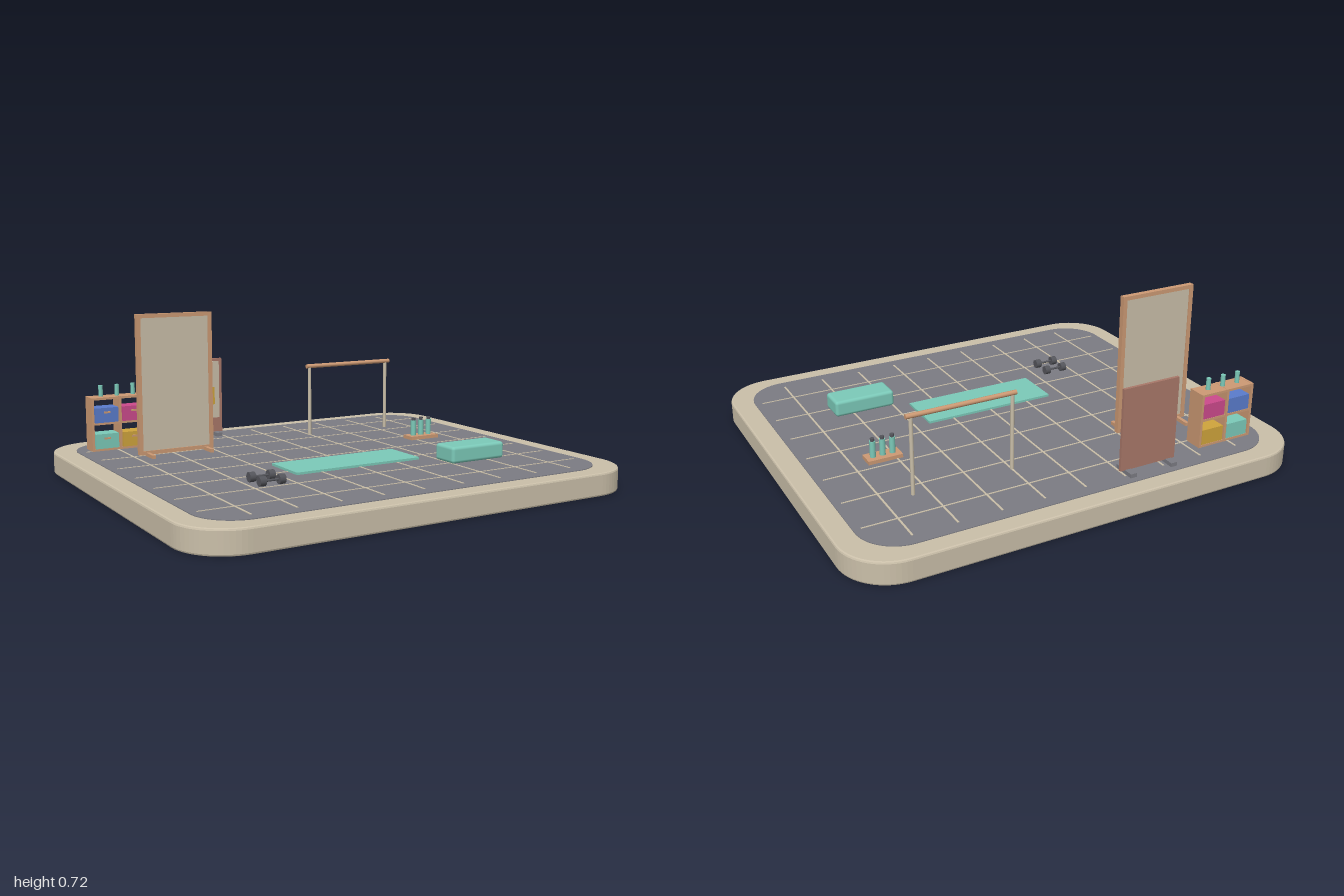
import * as THREE from 'three';
import { RoundedBoxGeometry } from 'three/addons/geometries/RoundedBoxGeometry.js';

const mat = (name, color) => {
  const m = new THREE.MeshStandardMaterial({ color });
  m.name = name;
  return m;
};

export function createModel() {
  const khaki = mat('khaki', 0xcabfa9), grey = mat('grey', 0x7c7c83), wood = mat('wood', 0xcd9a74),
    rose = mat('rose', 0xa97869), teal = mat('teal', 0x7ccab9), blue = mat('blue', 0x5a7ccc),
    magenta = mat('magenta', 0xcc4a8c), yellow = mat('yellow', 0xcfa43c), dark = mat('charcoal', 0x55565c);
  const root = new THREE.Group();
  root.name = 'exerciseStudio';
  const FLOOR = 0.1;

  const group = (name) => {
    const g = new THREE.Group();
    g.name = name;
    root.add(g);
    return g;
  };
  const add = (parent, name, geo, material, x = 0, y = 0, z = 0) => {
    const m = new THREE.Mesh(geo, material);
    m.name = name;
    m.position.set(x, y, z);
    parent.add(m);
    return m;
  };
  // box given by its minimum and maximum corners
  const box = (p, name, m, x0, x1, y0, y1, z0, z1) =>
    add(p, name, new THREE.BoxGeometry(x1 - x0, y1 - y0, z1 - z0), m, (x0 + x1) / 2, (y0 + y1) / 2, (z0 + z1) / 2);
  // upright cylinder from y0 to y1
  const post = (p, name, m, r, x, y0, y1, z, sides = 12) =>
    add(p, name, new THREE.CylinderGeometry(r, r, y1 - y0, sides), m, x, (y0 + y1) / 2, z);
  // cylinder lying along x
  const rod = (p, name, m, r, x0, x1, y, z, sides = 12) => {
    const c = add(p, name, new THREE.CylinderGeometry(r, r, x1 - x0, sides), m, (x0 + x1) / 2, y, z);
    c.rotation.z = Math.PI / 2;
    return c;
  };
  // rounded slab lying flat
  const slab = (p, name, m, hx, hz, r, y0, y1, bevel) => {
    const a = hx - bevel, b = hz - bevel, s = new THREE.Shape();
    s.moveTo(-a + r, -b);
    s.lineTo(a - r, -b);
    s.absarc(a - r, -b + r, r, -Math.PI / 2, 0);
    s.absarc(a - r, b - r, r, 0, Math.PI / 2);
    s.absarc(-a + r, b - r, r, Math.PI / 2, Math.PI);
    s.absarc(-a + r, -b + r, r, Math.PI, Math.PI * 1.5);
    const geo = new THREE.ExtrudeGeometry(s, {
      depth: y1 - y0 - 2 * bevel, curveSegments: 8, bevelEnabled: bevel > 0,
      bevelSize: bevel, bevelThickness: bevel, bevelSegments: 2,
    });
    geo.rotateX(-Math.PI / 2);
    return add(p, name, geo, m, 0, y0 + bevel, 0);
  };

  // base, floor and tile joints
  const base = group('base');
  slab(base, 'plinth', khaki, 1, 0.862, 0.2, 0, 0.097, 0.008);
  slab(base, 'floor', grey, 0.91, 0.782, 0.17, 0.09, FLOOR, 0);
  for (let i = -4; i <= 4; i++) {
    const x = i * 0.1835;
    box(base, 'tileJoint', khaki, x - 0.004, x + 0.004, FLOOR - 0.002, 0.102, -0.73, 0.73);
  }
  for (let i = -3; i <= 3; i++) {
    box(base, 'tileJoint', khaki, -0.88, 0.88, FLOOR - 0.002, 0.102, i * 0.2 - 0.003, i * 0.2 + 0.003);
  }

  // standing mirror
  const mirror = group('mirror');
  box(mirror, 'mirrorPanel', khaki, -0.695, -0.375, 0.12, 0.7, -0.407, -0.393);
  for (const x of [-0.71, -0.378]) box(mirror, 'mirrorSide', wood, x, x + 0.018, 0.105, 0.717, -0.412, -0.388);
  for (const y of [0.105, 0.7]) box(mirror, 'mirrorRail', wood, -0.692, -0.378, y, y + 0.017, -0.412, -0.388);
  for (const x of [-0.672, -0.398]) box(mirror, 'mirrorFoot', wood, x - 0.008, x + 0.008, FLOOR, 0.115, -0.485, -0.317);

  // pin board with paper notes
  const board = group('pinBoard');
  box(board, 'boardBack', rose, -0.43, -0.17, 0.115, 0.47, -0.713, -0.7);
  box(board, 'boardFace', khaki, -0.415, -0.185, 0.185, 0.457, -0.7, -0.697);
  box(board, 'note', teal, -0.4, -0.325, 0.3, 0.43, -0.697, -0.693);
  box(board, 'note', magenta, -0.335, -0.26, 0.365, 0.43, -0.697, -0.694);
  box(board, 'note', yellow, -0.29, -0.21, 0.25, 0.333, -0.697, -0.694);
  for (const x of [-0.4, -0.205]) box(board, 'boardFoot', grey, x - 0.014, x + 0.014, FLOOR, 0.117, -0.755, -0.655);

  // cubby shelf with open back and four bins
  const shelf = group('shelf');
  for (const x of [-0.85, -0.723, -0.596]) box(shelf, 'shelfUpright', wood, x, x + 0.011, FLOOR, 0.34, -0.677, -0.595);
  for (const y of [FLOOR, 0.217, 0.329]) box(shelf, 'shelfBoard', wood, -0.848, -0.587, y, y + 0.01, -0.676, -0.596);
  for (const [m, x, y] of [[teal, -0.781, 0.11], [yellow, -0.654, 0.11], [blue, -0.781, 0.227], [magenta, -0.654, 0.227]]) {
    box(shelf, 'bin', m, x - 0.053, x + 0.053, y, y + 0.066, -0.674, -0.594);
    box(shelf, 'binHandle', wood, x - 0.014, x + 0.014, y + 0.042, y + 0.05, -0.594, -0.589);
  }
  for (const x of [-0.793, -0.718, -0.643]) post(shelf, 'shelfBottle', teal, 0.01, x, 0.34, 0.39, -0.636);

  // exercise bar
  const bar = group('exerciseBar');
  rod(bar, 'rail', wood, 0.01, 0.165, 0.635, 0.433, -0.465);
  for (const x of [0.182, 0.613]) post(bar, 'barPost', khaki, 0.008, x, FLOOR, 0.43, -0.465);

  // bottle tray
  const tray = group('bottleTray');
  box(tray, 'tray', wood, 0.525, 0.675, FLOOR, 0.116, -0.17, -0.1);
  for (const x of [0.557, 0.6, 0.643]) {
    post(tray, 'bottle', teal, 0.0125, x, 0.116, 0.187, -0.135);
    post(tray, 'bottleCap', dark, 0.009, x, 0.187, 0.2, -0.135);
  }

  // floor mat and cushion
  const soft = group('softGear');
  box(soft, 'mat', teal, -0.3, 0.3, FLOOR, 0.11, 0.06, 0.273);
  add(soft, 'cushion', new RoundedBoxGeometry(0.275, 0.072, 0.126, 2, 0.014), teal, 0.498, 0.136, 0.367);

  // pair of dumbbells
  const weights = group('dumbbells');
  for (const z of [0.288, 0.375]) {
    rod(weights, 'dumbbellGrip', dark, 0.005, -0.5, -0.435, 0.12, z, 8);
    for (const x of [-0.523, -0.438]) rod(weights, 'dumbbellHead', dark, 0.02, x, x + 0.026, 0.12, z, 10);
  }
  return root;
}
